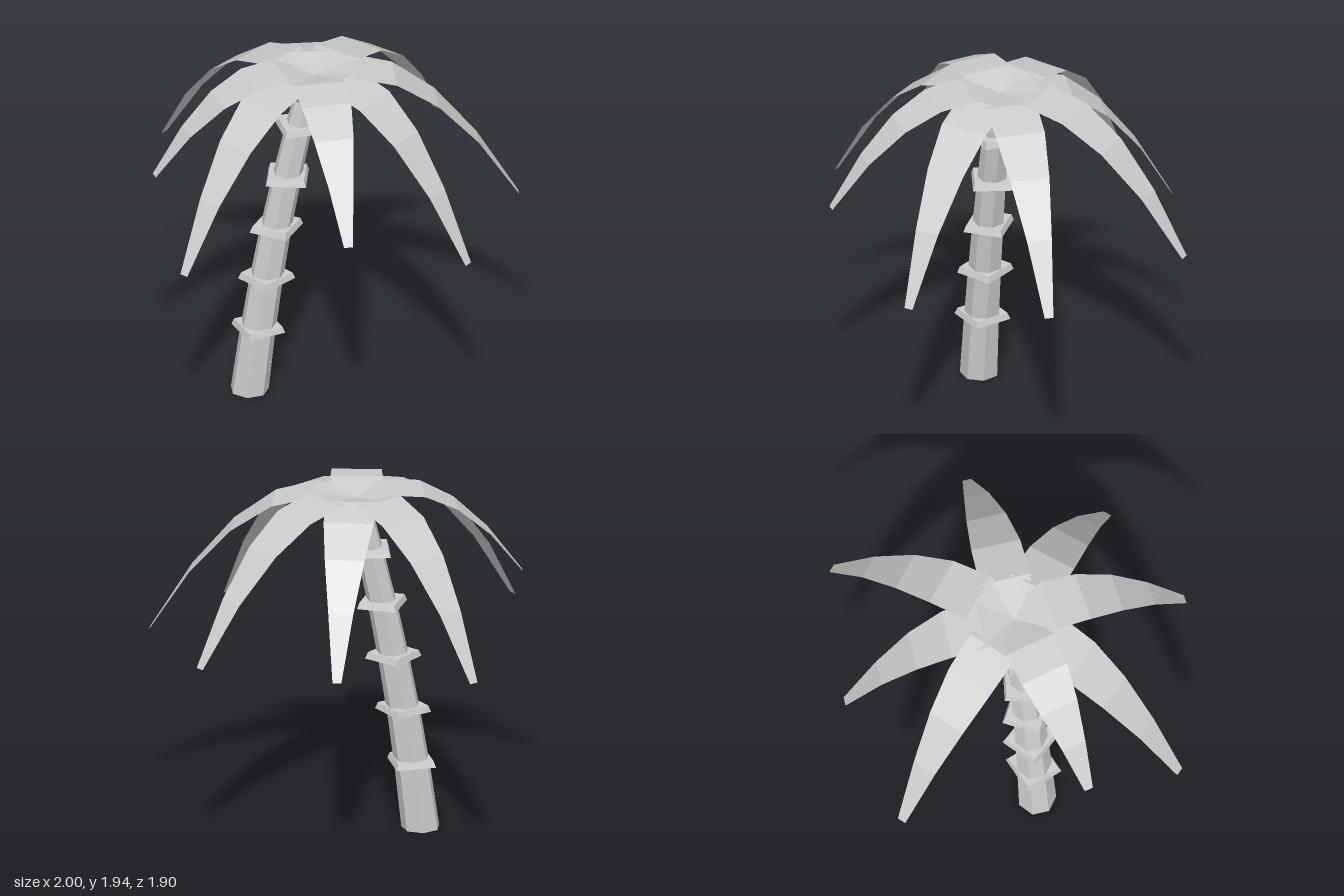
import * as THREE from 'three';

const TRUNK_HEIGHT = 1.87;
const Z0 = -0.018;
// centre line of the leaning, slightly bent trunk
const leanX = (y) => -0.455 + 0.112 * y + 0.038 * y * y;

const material = new THREE.MeshStandardMaterial({ color: 0xcccccc, flatShading: true });
const leafMaterial = new THREE.MeshStandardMaterial({ color: 0xcccccc, flatShading: true, side: THREE.DoubleSide });

function addMesh(parent, name, geometry, mat = material) {
  const mesh = new THREE.Mesh(geometry, mat);
  mesh.name = name;
  parent.add(mesh);
  return mesh;
}

// Tapered seven-sided trunk, bent along the centre line
function trunkGeometry() {
  const geo = new THREE.CylinderGeometry(0.07, 0.105, TRUNK_HEIGHT, 7, 6);
  geo.rotateY(0.57).translate(0, TRUNK_HEIGHT / 2, Z0);
  const pos = geo.attributes.position;
  for (let i = 0; i < pos.count; i++) pos.setX(i, pos.getX(i) + leanX(pos.getY(i)));
  geo.computeVertexNormals();
  return geo;
}

// Flat arched strip from the crown to the tip, widest near the base
function frondGeometry(crown, tip) {
  const halfWidths = [0.08, 0.14, 0.135, 0.108, 0.068, 0.024];
  const dir = new THREE.Vector3(tip.x - crown.x, 0, tip.z - crown.z);
  const side = new THREE.Vector3(dir.z, 0, -dir.x).normalize();
  const rise = 0.44;
  const fall = rise + crown.y - tip.y;
  const positions = [];
  const indices = [];
  halfWidths.forEach((w, i) => {
    const u = i / (halfWidths.length - 1);
    const p = crown.clone().addScaledVector(dir, u);
    p.y += rise * u - fall * u * u;
    for (const s of [-1, 1]) positions.push(p.x + s * w * side.x, p.y, p.z + s * w * side.z);
    if (i > 0) {
      const a = 2 * (i - 1);
      indices.push(a, a + 1, a + 2, a + 1, a + 3, a + 2);
    }
  });
  const geo = new THREE.BufferGeometry();
  geo.setAttribute('position', new THREE.Float32BufferAttribute(positions, 3));
  geo.setIndex(indices);
  geo.computeVertexNormals();
  return geo;
}

export function createModel() {
  const model = new THREE.Group();
  model.name = 'palmTree';

  addMesh(model, 'trunk', trunkGeometry());

  // Square bark rings, each turned a little further than the one below
  const rings = new THREE.Group();
  rings.name = 'barkRings';
  model.add(rings);
  for (let i = 0; i < 5; i++) {
    const y = 0.383 + i * 0.302;
    const ring = addMesh(rings, 'barkRing', new THREE.CylinderGeometry(0.138, 0.153, 0.035, 4));
    ring.position.set(leanX(y), y, Z0);
    ring.rotation.y = THREE.MathUtils.degToRad(58.4 + 20 * i);
  }

  // Drooping fronds, given by their tips
  const fronds = new THREE.Group();
  fronds.name = 'fronds';
  model.add(fronds);
  const crown = new THREE.Vector3(-0.11, 1.885, -0.02);
  const tips = [
    [-0.12, 1.35, 0.945], [0.58, 1.06, 0.75], [0.998, 1.1, 0.097], [0.735, 1.18, -0.765],
    [0, 1.165, -0.95], [-0.735, 1.14, -0.885], [-1, 1.43, 0.087], [-0.953, 1.1, 0.62],
  ];
  for (const tip of tips) {
    addMesh(fronds, 'frond', frondGeometry(crown, new THREE.Vector3(...tip)), leafMaterial);
  }

  // Faceted coconuts under the crown
  const coconuts = new THREE.Group();
  coconuts.name = 'coconuts';
  model.add(coconuts);
  const spots = [[0.02, 1.82, -0.14], [-0.14, 1.82, -0.13], [-0.2, 1.82, 0.05], [-0.03, 1.81, 0.06]];
  spots.forEach((spot, i) => {
    const nut = addMesh(coconuts, 'coconut', new THREE.IcosahedronGeometry(0.052, 0));
    nut.position.set(...spot);
    nut.rotation.y = i * 0.8;
  });

  return model;
}
